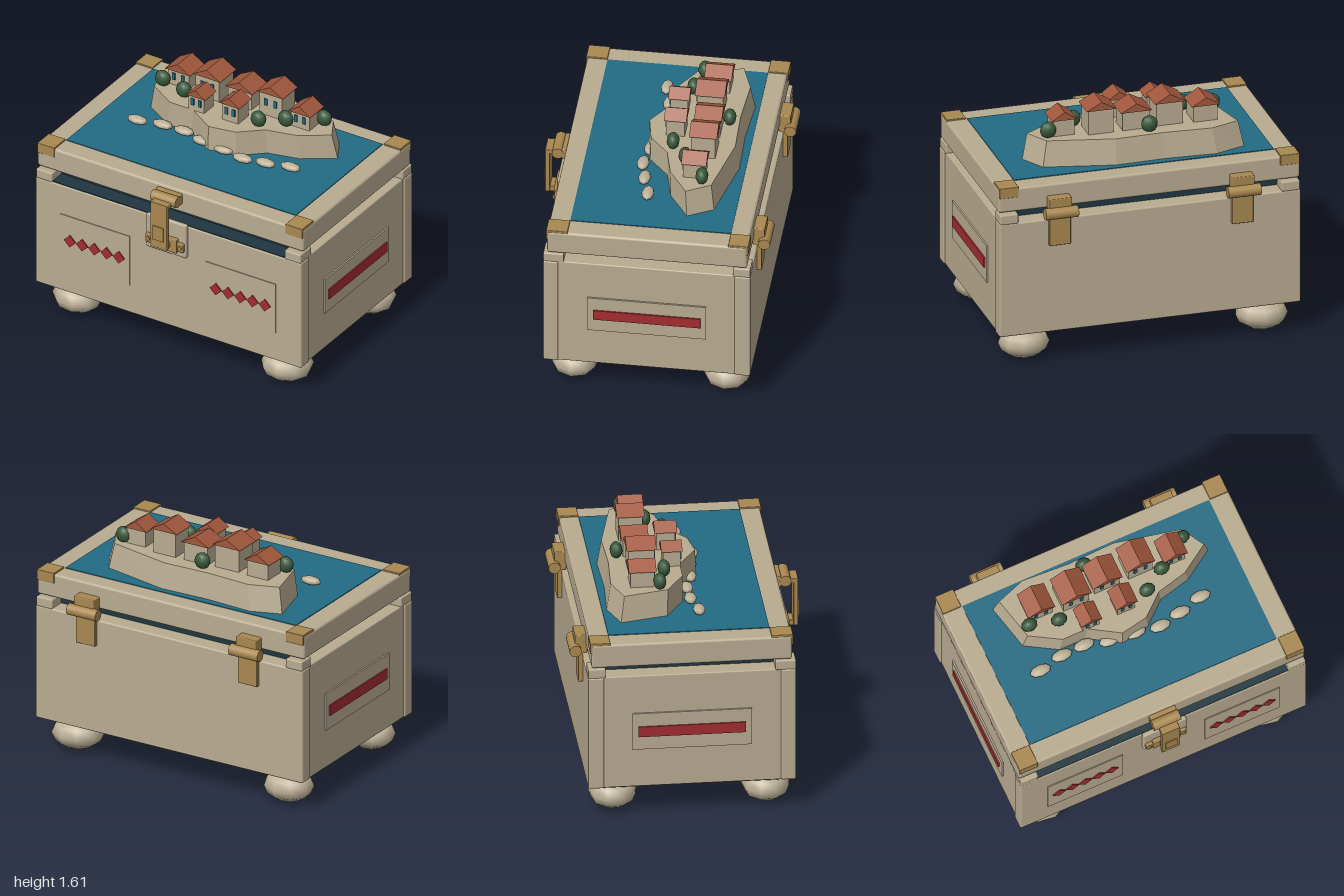
import * as THREE from 'three';
import { RoundedBoxGeometry } from 'three/addons/geometries/RoundedBoxGeometry.js';

const mat = (name, color) => {
  const m = new THREE.MeshStandardMaterial({ color });
  m.name = name;
  return m;
};

export function createModel() {
  const root = new THREE.Group();
  root.name = 'islandChest';

  const beige = mat('beige', 0xb8ab90);
  const stone = mat('stone', 0xbdb197);
  const gold = mat('gold', 0xa98850);
  const teal = mat('teal', 0x226b84);
  const red = mat('red', 0xa22c31);
  const navy = mat('navy', 0x1f3641);
  const terracotta = mat('terracotta', 0xa1573c);
  const green = mat('green', 0x38583a);

  const add = (name, geometry, material, x = 0, y = 0, z = 0, parent = root) => {
    const m = new THREE.Mesh(geometry, material);
    m.name = name;
    m.position.set(x, y, z);
    parent.add(m);
    return m;
  };
  // Box given by its extents; a radius rounds the edges
  const box = (name, material, [x0, x1], [y0, y1], [z0, z1], r = 0, parent = root) => {
    const s = [x1 - x0, y1 - y0, z1 - z0];
    const g = r ? new RoundedBoxGeometry(...s, 2, r) : new THREE.BoxGeometry(...s);
    return add(name, g, material, (x0 + x1) / 2, (y0 + y1) / 2, (z0 + z1) / 2, parent);
  };
  // Horizontal pin along x
  const pin = (name, r, length, x, y, z) =>
    add(name, new THREE.CylinderGeometry(r, r, length, 20).rotateZ(Math.PI / 2), gold, x, y, z);
  const blob = (name, material, w, h, [rx, ry, rz], x, y, z, turn = 0) => {
    const m = add(name, new THREE.SphereGeometry(1, w, h), material, x, y, z);
    m.scale.set(rx, ry, rz);
    m.rotation.y = turn;
    return m;
  };

  // Chest body
  box('basePlate', beige, [-0.91, 0.91], [0.18, 0.23], [-0.58, 0.54], 0.01);
  box('bodyCore', beige, [-0.98, 0.98], [0.217, 0.99], [-0.6, 0.56], 0.008);
  box('frontPanel', beige, [-0.99, 0.99], [0.217, 0.99], [0.54, 0.635], 0.012);
  box('backPanel', beige, [-0.99, 0.99], [0.217, 0.99], [-0.68, -0.58], 0.012);
  box('darkRecess', navy, [-0.87, 0.87], [0.95, 1.048], [-0.57, 0.52]);
  box('recessLedge', navy, [-0.87, 0.87], [0.988, 0.994], [0.5, 0.628]);

  // Feet, corner posts and gilded lid corners
  for (const sx of [-1, 1]) {
    for (const [zFoot, zPost, zCorner] of [
      [0.465, [0.505, 0.635], [0.48, 0.616]],
      [-0.505, [-0.68, -0.57], [-0.668, -0.54]],
    ]) {
      blob('foot', stone, 9, 6, [0.17, 0.105, 0.155], sx * 0.78, 0.106, zFoot, sx * 0.3);
      const span = (a, b) => (sx > 0 ? [a, b] : [-b, -a]);
      box('cornerPost', beige, span(0.865, 0.985), [0.985, 1.05], zPost, 0.008);
      box('lidCorner', gold, span(0.86, 0.986), [1.16, 1.23], zCorner, 0.004);
    }
  }

  // Lid with a sea inlay
  box('lid', beige, [-0.99, 0.99], [1.06, 1.22], [-0.66, 0.61], 0.016);
  box('sea', teal, [-0.855, 0.853], [1.217, 1.225], [-0.54, 0.48]);

  // Front panels with rows of diamonds, side panels with bars
  const diamond = new THREE.BoxGeometry(0.062, 0.062, 0.009).rotateZ(Math.PI / 4);
  for (const sx of [-1, 1]) {
    const cx = sx * 0.543;
    box('frontInlay', beige, [cx - 0.26, cx + 0.26], [0.42, 0.78], [0.633, 0.641]);
    for (let i = -2; i <= 2; i++) add('diamond', diamond, red, cx + i * 0.091, 0.604, 0.644);
    const side = (a, b) => (sx > 0 ? [a, b] : [-b, -a]);
    box('sideInlay', beige, side(0.978, 0.991), [0.48, 0.73], [-0.4, 0.355]);
    box('sideBar', red, side(0.991, 1), [0.57, 0.64], [-0.365, 0.317]);
  }

  // Front latch
  box('latchBackplate', beige, [-0.15, 0.15], [0.765, 1.008], [0.63, 0.662], 0.012);
  pin('latchPin', 0.037, 0.185, 0, 1.165, 0.666);
  box('latchMount', gold, [-0.09, 0.09], [1.125, 1.2], [0.605, 0.64], 0.006);
  box('latchArm', gold, [-0.062, 0.062], [1.135, 1.168], [0.65, 0.75], 0.005);
  box('latchStrap', gold, [-0.062, 0.062], [0.84, 1.165], [0.72, 0.75], 0.005);
  box('latchInset', gold, [-0.04, 0.04], [0.9, 1.0], [0.745, 0.757]);
  box('latchCatch', gold, [-0.095, 0.095], [0.8, 0.9], [0.66, 0.69], 0.006);
  box('latchBar', gold, [-0.14, 0.14], [0.813, 0.875], [0.655, 0.683], 0.006);
  box('latchHook', gold, [-0.05, 0.05], [0.835, 0.875], [0.68, 0.725], 0.005);
  for (const sx of [-1, 1]) {
    add('latchScrew', new THREE.CylinderGeometry(0.014, 0.014, 0.014, 12).rotateX(Math.PI / 2),
      gold, sx * 0.118, 0.845, 0.685);
  }

  // Back hinges
  for (const cx of [-0.6, 0.6]) {
    pin('hingePin', 0.038, 0.215, cx, 1.047, -0.73);
    box('hingeUpperLeaf', gold, [cx - 0.073, cx + 0.073], [1.015, 1.143], [-0.73, -0.652], 0.006);
    box('hingeLowerLeaf', gold, [cx - 0.07, cx + 0.07], [0.817, 1.03], [-0.71, -0.678], 0.005);
  }

  // Rocky island: an outline tapering toward its plateau
  const outline = [
    [-0.69, -0.44], [-0.49, -0.51], [-0.16, -0.49], [0.17, -0.5], [0.62, -0.4],
    [0.71, -0.24], [0.51, -0.11], [0.3, -0.06], [0.15, 0.07], [-0.04, 0.105],
    [-0.24, -0.02], [-0.42, -0.02], [-0.62, -0.14],
  ];
  const shape = new THREE.Shape(outline.map(([x, z]) => new THREE.Vector2(x, -z)));
  const rock = new THREE.ExtrudeGeometry(shape, { depth: 0.17, bevelEnabled: false }).rotateX(-Math.PI / 2);
  const p = rock.attributes.position;
  for (let i = 0; i < p.count; i++) {
    if (p.getY(i) > 0.1) p.setXYZ(i, p.getX(i) * 0.95, p.getY(i), p.getZ(i) * 0.945);
  }
  rock.computeVertexNormals();
  add('island', rock, beige, 0, 1.222, 0);

  // Shore stones
  [[-0.59, 0.064], [-0.425, 0.027], [-0.27, 0.022], [-0.11, 0.06], [0.06, 0.08],
    [0.22, 0.105], [0.37, 0.075], [0.53, 0.032]].forEach(([x, z]) =>
    blob('shoreStone', stone, 8, 6, [0.072, 0.026, 0.04], x, 1.246, z));

  // Houses: roof x range, roof z range, eaves height, ridge height
  const houses = [
    [-0.553, -0.366, -0.375, -0.2, 1.5, 1.556],
    [-0.33, -0.125, -0.365, -0.175, 1.545, 1.603],
    [-0.105, 0.1, -0.375, -0.2, 1.515, 1.57],
    [0.13, 0.325, -0.377, -0.2, 1.555, 1.61],
    [0.377, 0.543, -0.34, -0.18, 1.5, 1.556],
    [-0.275, -0.13, -0.14, -0.005, 1.498, 1.548],
    [-0.03, 0.12, -0.155, -0.012, 1.513, 1.567],
  ];
  for (const [x0, x1, z0, z1, eaves, ridge] of houses) {
    const house = new THREE.Group();
    house.name = 'house';
    root.add(house);
    const w = x1 - x0, cx = (x0 + x1) / 2, front = z1 - 0.012;
    box('walls', beige, [x0 + 0.015, x1 - 0.015], [1.385, eaves + 0.002], [z0 + 0.012, front], 0, house);
    const gable = new THREE.Shape([
      new THREE.Vector2(-w / 2, 0), new THREE.Vector2(w / 2, 0),
      new THREE.Vector2(0, ridge - eaves),
    ]);
    add('roof', new THREE.ExtrudeGeometry(gable, { depth: z1 - z0, bevelEnabled: false }),
      terracotta, cx, eaves, z0, house);
    const wy = 1.39 + 0.6 * (eaves - 1.39);
    for (const s of [-1, 1]) {
      add('window', new THREE.BoxGeometry(0.022, 0.048, 0.008), teal, cx + s * w * 0.18, wy, front + 0.003, house);
    }
  }

  // Bushes
  [[-0.555, -0.18], [-0.37, -0.135], [-0.078, -0.405], [0.217, -0.085], [0.36, -0.18],
    [0.56, -0.315]].forEach(([x, z]) =>
    blob('bush', green, 10, 8, [0.054, 0.054, 0.041], x, 1.438, z));

  return root;
}
